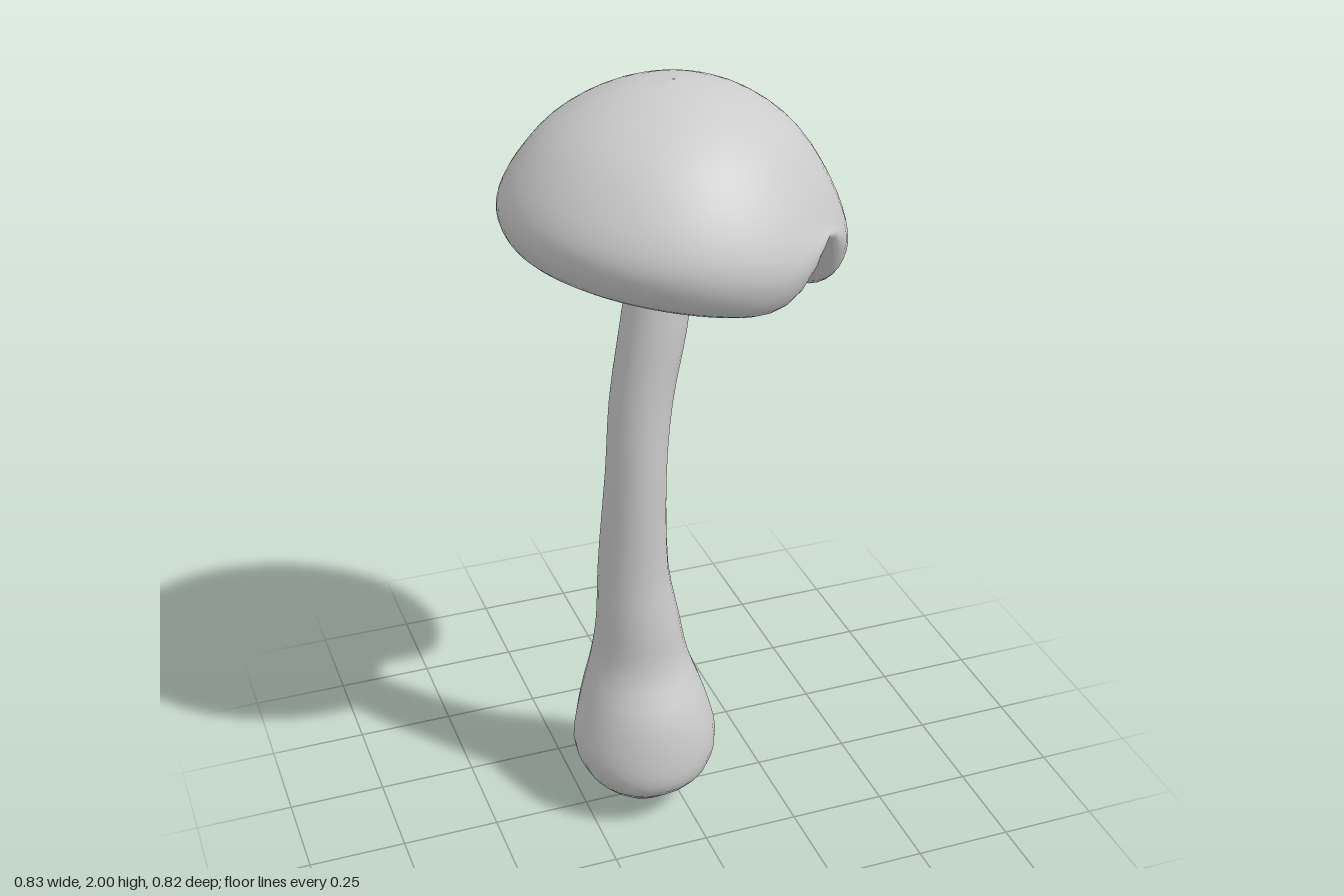
import * as THREE from 'three';

// Smooth closed skin over rings running from top to bottom; point(i, angle) gives [x, y, z]
function loft(name, ringCount, sides, point) {
  const pos = [], index = [];
  for (let i = 0; i < ringCount; i++) {
    for (let j = 0; j < sides; j++) pos.push(...point(i, (j / sides) * Math.PI * 2));
  }
  for (let i = 0; i < ringCount - 1; i++) {
    for (let j = 0; j < sides; j++) {
      const k = (j + 1) % sides;
      const a = i * sides + j, b = i * sides + k, c = a + sides, d = b + sides;
      index.push(a, b, c, b, d, c);
    }
  }
  const geo = new THREE.BufferGeometry();
  geo.setAttribute('position', new THREE.Float32BufferAttribute(pos, 3));
  geo.setIndex(index);
  geo.computeVertexNormals();
  const mesh = new THREE.Mesh(geo, new THREE.MeshStandardMaterial({ color: 0xcccccc }));
  mesh.name = name;
  return mesh;
}

// Cap: dome, rolled rim and hollow underside, tilted, with a notch in the rim
function makeCap() {
  const profile = new THREE.SplineCurve([
    [0.003, 1.995], [0.1, 1.982], [0.2, 1.942], [0.29, 1.875], [0.36, 1.78], [0.4, 1.69],
    [0.404, 1.62], [0.375, 1.555], [0.32, 1.525], [0.265, 1.54], [0.25, 1.59], [0.265, 1.66],
    [0.22, 1.73], [0.1, 1.76], [0.003, 1.76],
  ].map(([r, y]) => new THREE.Vector2(r, y))).getPoints(42);
  const notchAngle = 0.76, notchTop = 1.72;

  return loft('cap', profile.length, 64, (i, a) => {
    let { x: r, y } = profile[i];
    let d = Math.abs(a - notchAngle);
    d = Math.min(d, Math.PI * 2 - d);
    const notch = Math.exp(-Math.pow(d / 0.25, 1.6));
    const low = THREE.MathUtils.clamp((2 - y) / 0.45, 0, 1.05);
    if (y < notchTop) y += (notchTop - y) * 0.9 * notch;
    r *= 1 - 0.07 * notch * low;
    const x = r * Math.cos(a) * 1.015, z = r * Math.sin(a) * 1.01;
    return [x, y - 0.19 * low * x + 0.06 * low * z, z];
  });
}

// Stem: leaning stalk swelling into a bulb; rows are y, centre x, centre z, radius x, radius z
function makeStem() {
  const rows = [
    [1.77, 0.03, 0, 0.08, 0.08],
    [1.5, -0.035, 0, 0.08, 0.08],
    [1.38, -0.055, 0.005, 0.082, 0.083],
    [1.2, -0.088, 0.01, 0.078, 0.082],
    [1.0, -0.105, 0.015, 0.076, 0.084],
    [0.72, -0.11, 0, 0.09, 0.092],
    [0.57, -0.098, -0.004, 0.107, 0.105],
    [0.44, -0.09, -0.018, 0.128, 0.126],
    [0.32, -0.086, -0.005, 0.165, 0.167],
    [0.2, -0.085, 0.007, 0.19, 0.177],
    [0.12, -0.084, 0.012, 0.165, 0.165],
    [0.05, -0.085, -0.012, 0.115, 0.115],
    [0.015, -0.085, -0.005, 0.065, 0.065],
    [0, -0.08, 0.01, 0.003, 0.003],
  ];
  const centre = new THREE.CatmullRomCurve3(rows.map(([y, x, z]) => new THREE.Vector3(x, y, z)));
  const radius = new THREE.SplineCurve(rows.map((r) => new THREE.Vector2(r[3], r[4])));
  const steps = (rows.length - 1) * 3;
  return loft('stem', steps + 1, 24, (i, a) => {
    const c = centre.getPoint(i / steps), r = radius.getPoint(i / steps);
    return [c.x + r.x * Math.cos(a), Math.max(0, c.y), c.z + r.y * Math.sin(a)];
  });
}

export function createModel() {
  const group = new THREE.Group();
  group.name = 'mushroom';
  group.add(makeCap(), makeStem());
  return group;
}
